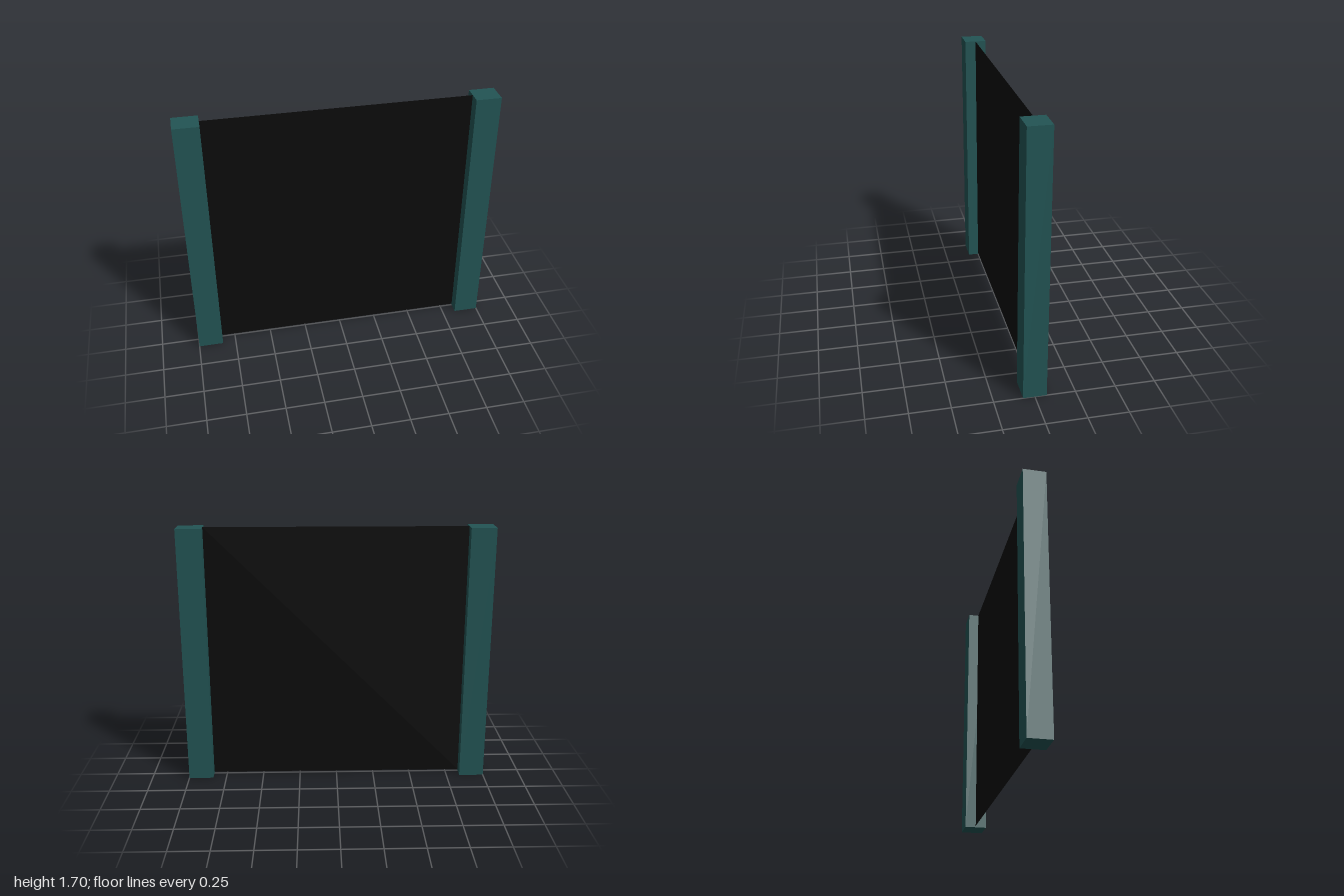
import * as THREE from 'three';

const HEIGHT = 1.695;
const POST_WIDTH = 0.162;
const POST_DEPTH = 0.145;
const PANEL_GAP = 0.01;

export function createModel() {
  const group = new THREE.Group();
  group.name = 'framedScreen';

  const postMaterial = new THREE.MeshStandardMaterial({ color: 0x225454 });
  const panelMaterial = new THREE.MeshStandardMaterial({ color: 0x0c0c0c, side: THREE.DoubleSide });

  // Square posts at both ends
  const postGeometry = new THREE.BoxGeometry(POST_WIDTH, HEIGHT, POST_DEPTH);
  for (const [name, side] of [['leftPost', 1], ['rightPost', -1]]) {
    const post = new THREE.Mesh(postGeometry, postMaterial);
    post.name = name;
    post.position.set(side * (1 - POST_WIDTH / 2), HEIGHT / 2, 0);
    group.add(post);
  }

  // Thin sheet spanning the posts, just clear of the ground
  const panelHeight = HEIGHT - PANEL_GAP;
  const panel = new THREE.Mesh(
    new THREE.PlaneGeometry(2 - 2 * POST_WIDTH, panelHeight),
    panelMaterial
  );
  panel.name = 'panel';
  panel.position.y = PANEL_GAP + panelHeight / 2;
  group.add(panel);

  return group;
}
